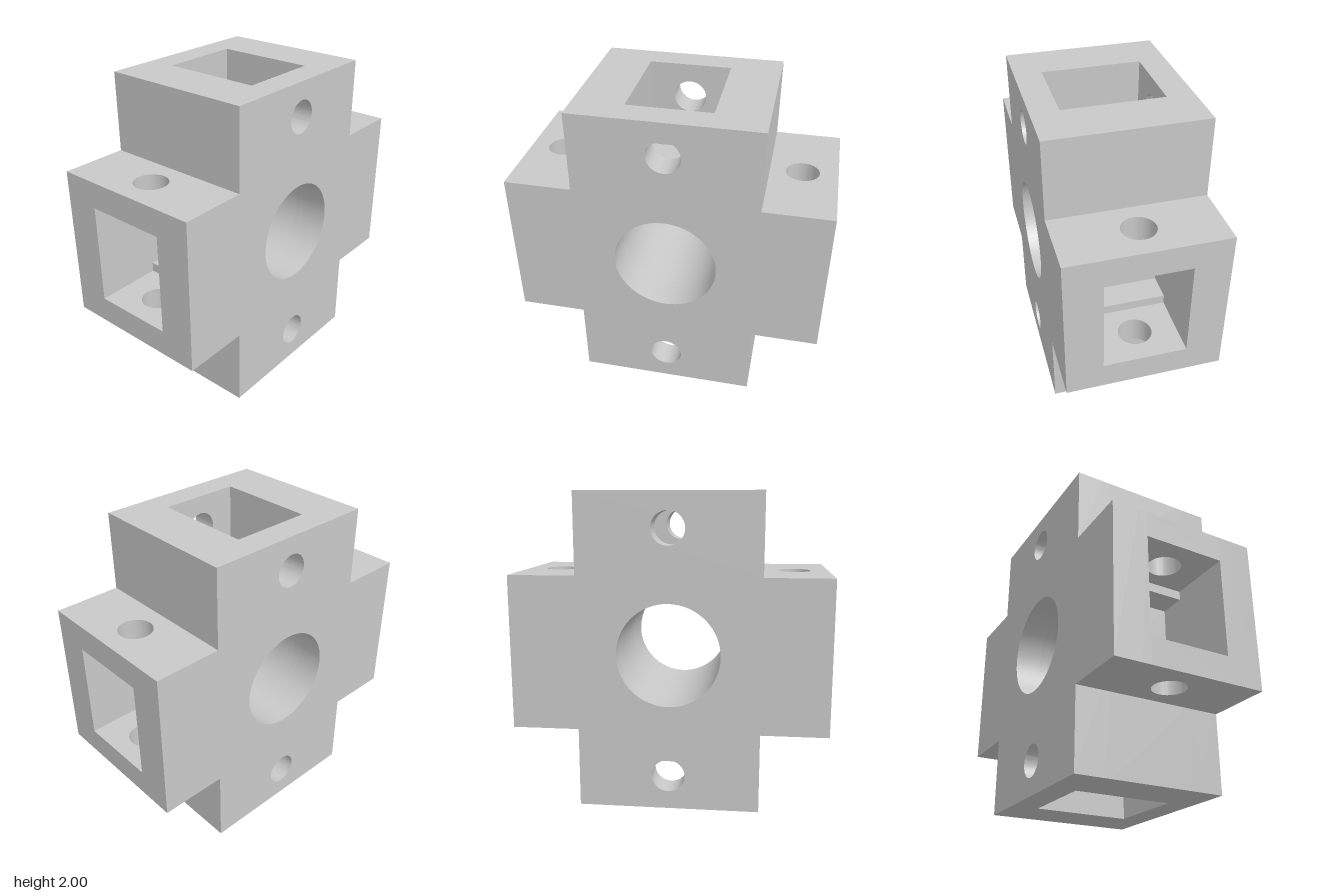
import * as THREE from 'three';
import { toCreasedNormals } from 'three/addons/utils/BufferGeometryUtils.js';

// Half sizes of the cross block
const ARM_W = 0.575, ARM_H = 0.49, DEPTH = 0.49;
// Pockets: half widths, floors and the step in the side pockets
const NARROW = 0.26, WIDE_Y = 0.32, WIDE_Z = 0.317, FLOOR = 0.4, STEP = 0.578;
const BORE = 0.325, PIN = 0.105, PIN_AT = 0.78;

const circle = (x, y, r) => new THREE.Path().absarc(x, y, r, 0, Math.PI * 2, true);

// Mirrors one quarter (from top centre round to the right) into a closed anticlockwise outline
function mirrored(quarter) {
  const q = quarter.map(([x, y]) => new THREE.Vector2(x, y));
  const flip = (sx, sy) => q.map((p) => new THREE.Vector2(p.x * sx, p.y * sy));
  return new THREE.Shape([
    ...flip(-1, 1), ...flip(-1, -1).reverse(), ...flip(1, -1), ...flip(1, 1).reverse(),
  ]);
}

function extrude(shape, depth) {
  const g = new THREE.ExtrudeGeometry(shape, { depth, bevelEnabled: false, curveSegments: 32 });
  return toCreasedNormals(g, 0.5);
}

export function createModel() {
  const group = new THREE.Group();
  const grey = new THREE.MeshStandardMaterial({ color: 0xc8c8c8 });
  grey.name = 'lightGrey';
  const add = (name, geometry, x, y, z) => {
    const mesh = new THREE.Mesh(geometry, grey);
    mesh.name = name;
    mesh.position.set(x, y, z);
    group.add(mesh);
    return mesh;
  };

  // Outer plates: full cross with the bore and two pin holes
  const plate = mirrored([[ARM_W, 1], [ARM_W, ARM_H], [1, ARM_H]]);
  plate.holes.push(circle(0, 0, BORE), circle(0, PIN_AT, PIN), circle(0, -PIN_AT, PIN));
  const plateGeo = extrude(plate, DEPTH - WIDE_Z);
  add('frontPlate', plateGeo, 0, 1, WIDE_Z);
  add('backPlate', plateGeo, 0, 1, -DEPTH);

  // Inner plates: cross with the top and bottom pockets cut in
  const notch = [[NARROW, FLOOR], [NARROW, 1], [ARM_W, 1], [ARM_W, ARM_H]];
  const inner = mirrored([...notch, [1, ARM_H]]);
  inner.holes.push(circle(0, 0, BORE));
  const innerGeo = extrude(inner, WIDE_Z - NARROW);
  add('frontInnerPlate', innerGeo, 0, 1, NARROW);
  add('backInnerPlate', innerGeo, 0, 1, -WIDE_Z);

  // Core: pockets on all four sides, the side ones stepped
  const core = mirrored([...notch, [STEP, ARM_H], [STEP, NARROW], [FLOOR, NARROW]]);
  core.holes.push(circle(0, 0, BORE));
  add('core', extrude(core, NARROW * 2), 0, 1, -NARROW);

  // Drilled walls above and below each side pocket
  const wall = new THREE.Shape([
    new THREE.Vector2(STEP, -NARROW), new THREE.Vector2(1, -NARROW),
    new THREE.Vector2(1, NARROW), new THREE.Vector2(STEP, NARROW),
  ]);
  wall.holes.push(circle(PIN_AT, 0, PIN));
  const wallGeo = extrude(wall, ARM_H - WIDE_Y).rotateX(-Math.PI / 2);
  for (const [side, turn] of [['left', 0], ['right', Math.PI]]) {
    add(side + 'UpperWall', wallGeo, 0, 1 + WIDE_Y, 0).rotation.y = turn;
    add(side + 'LowerWall', wallGeo, 0, 1 - ARM_H, 0).rotation.y = turn;
  }
  return group;
}
